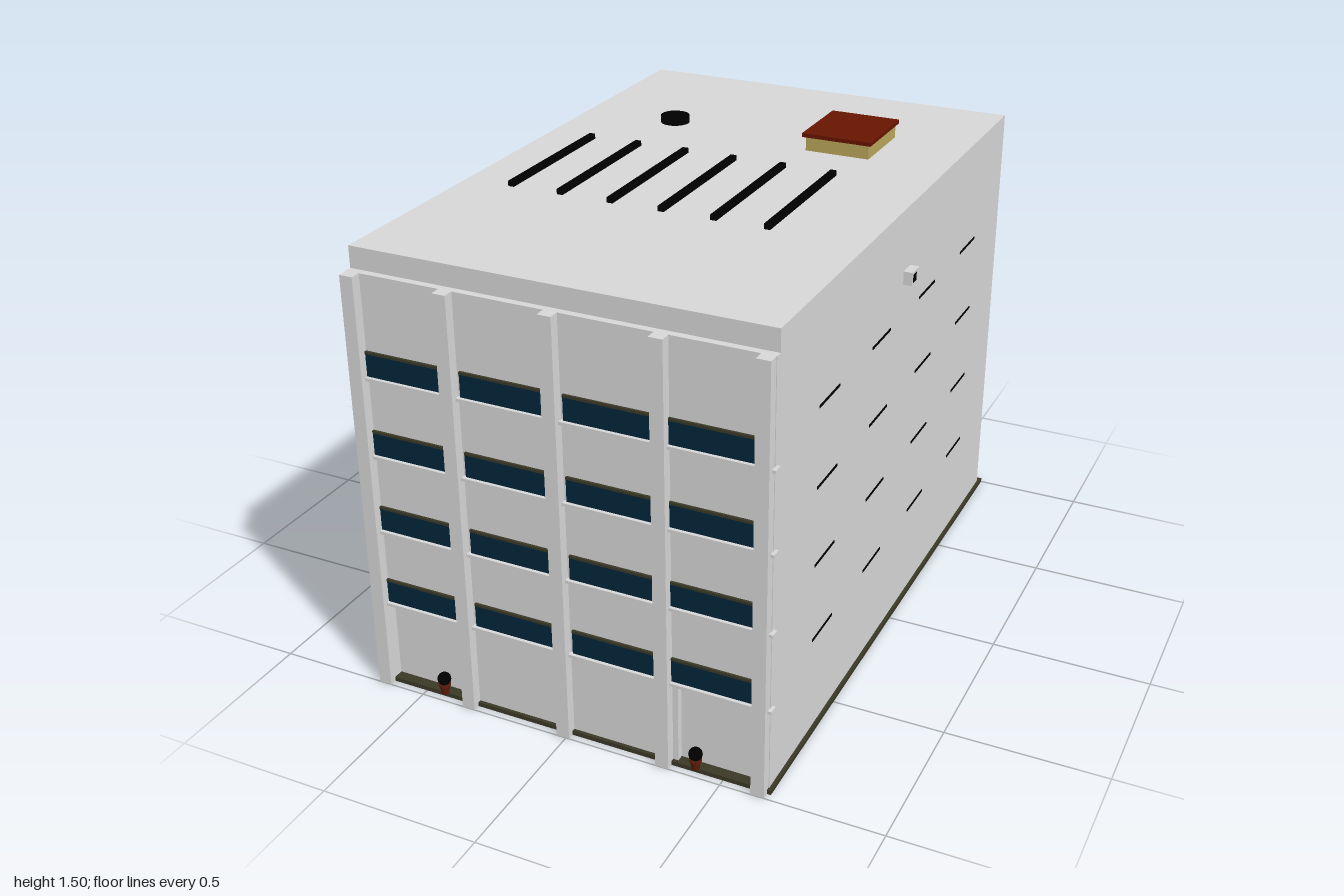
import * as THREE from 'three';

const mat = (name, color) => {
  const m = new THREE.MeshStandardMaterial({ color });
  m.name = name;
  return m;
};

export function createModel() {
  const wall = mat('concrete', 0xd7d7d7);
  const glass = mat('blue glass', 0x00263b);
  const olive = mat('dark olive', 0x3a3926);
  const black = mat('black', 0x000000);
  const tan = mat('tan', 0xb9a55a);
  const red = mat('rust red', 0x671500);
  const clay = mat('clay', 0x5e1c08);

  const model = new THREE.Group();
  model.name = 'officeBlock';
  const add = (name, geometry, material) => {
    const mesh = new THREE.Mesh(geometry, material);
    mesh.name = name;
    model.add(mesh);
    return mesh;
  };
  // box from its min and max along each axis
  const box = (name, material, x0, x1, y0, y1, z0, z1) => {
    const mesh = add(name, new THREE.BoxGeometry(x1 - x0, y1 - y0, z1 - z0), material);
    mesh.position.set((x0 + x1) / 2, (y0 + y1) / 2, (z0 + z1) / 2);
    return mesh;
  };

  const L = -0.66, R = 0.639, TOP = 1.427, BODY = 0.945, FRONT = 0.967, BACK = -0.975;

  // ground slab, main block and a front wall with two entrance recesses
  box('groundSlab', olive, -0.67, 0.649, 0, 0.014, -1, 0.978);
  box('mainBlock', wall, L, R, 0, TOP, BACK, BODY);
  const facade = new THREE.Shape();
  [[L, 0], [-0.63, 0], [-0.63, 0.277], [-0.376, 0.277], [-0.376, 0], [0.354, 0],
    [0.354, 0.277], [0.608, 0.277], [0.608, 0], [R, 0], [R, 1.36], [L, 1.36]]
    .forEach(([x, y], i) => (i ? facade.lineTo(x, y) : facade.moveTo(x, y)));
  const facadeGeo = new THREE.ExtrudeGeometry(facade, { depth: FRONT - BODY, bevelEnabled: false });
  add('frontWall', facadeGeo, wall).position.z = BODY;

  // front pillars
  for (const x of [-0.637, -0.336, -0.01, 0.316, 0.616]) {
    box('pillar', wall, x - 0.021, x + 0.021, 0, 1.36, BODY - 0.005, 1);
  }

  // window bands with head strips, and a sill per floor
  const bays = [[-0.616, -0.356], [-0.306, -0.039], [0.02, 0.286], [0.337, 0.595]];
  for (let floor = 0; floor < 4; floor++) {
    const y = 0.291 + floor * 0.252;
    for (const [x0, x1] of bays) {
      box('windowHead', olive, x0, x1, y + 0.07, y + 0.078, FRONT, FRONT + 0.008);
      box('windowGlass', glass, x0, x1, y - 0.001, y + 0.07, FRONT, FRONT + 0.006);
    }
    box('sill', wall, -0.67, 0.649, y - 0.011, y - 0.001, 0.955, 0.984);

    // narrow slots on both sides and the back
    const s = 0.3265 + floor * 0.2517;
    for (let i = 0; i < 4; i++) {
      const z = 0.594 - i * 0.407;
      box('rightSlot', black, L - 0.002, L, s - 0.004, s + 0.004, z - 0.075, z + 0.075);
      box('leftSlot', black, R, R + 0.002, s - 0.004, s + 0.004, z - 0.075, z + 0.075);
    }
    for (const x of [-0.416, -0.01, 0.396]) {
      box('backSlot', black, x - 0.08, x + 0.08, s - 0.004, s + 0.004, BACK - 0.002, BACK);
    }
  }

  // wall unit on the left side
  box('wallUnit', wall, R, 0.667, 1.187, 1.229, -0.044, 0.014);
  box('wallUnitVent', black, 0.667, 0.668, 1.195, 1.221, -0.021, 0.007);

  // roof: slats, round vent and stair house
  for (let i = 0; i < 6; i++) {
    const x = -0.418 + i * 0.1625;
    box('roofSlat', black, x - 0.0095, x + 0.0095, 1.483, 1.499, -0.018, 0.475);
  }
  add('roofVent', new THREE.CylinderGeometry(0.048, 0.048, 0.023, 24), black)
    .position.set(-0.337, TOP + 0.0115, -0.44);
  box('stairHouse', tan, 0.171, 0.383, TOP, 1.473, -0.594, -0.348);
  box('stairHouseRoof', red, 0.16, 0.391, 1.472, 1.485, -0.604, -0.341);

  // potted shrubs beside the entrances
  for (const x of [-0.434, 0.413]) {
    add('plantPot', new THREE.CylinderGeometry(0.017, 0.012, 0.034, 14), clay).position.set(x, 0.029, 0.976);
    add('potRim', new THREE.CylinderGeometry(0.019, 0.019, 0.007, 14), clay).position.set(x, 0.044, 0.976);
    add('shrub', new THREE.SphereGeometry(0.021, 14, 10), black).position.set(x, 0.063, 0.976);
  }
  return model;
}
